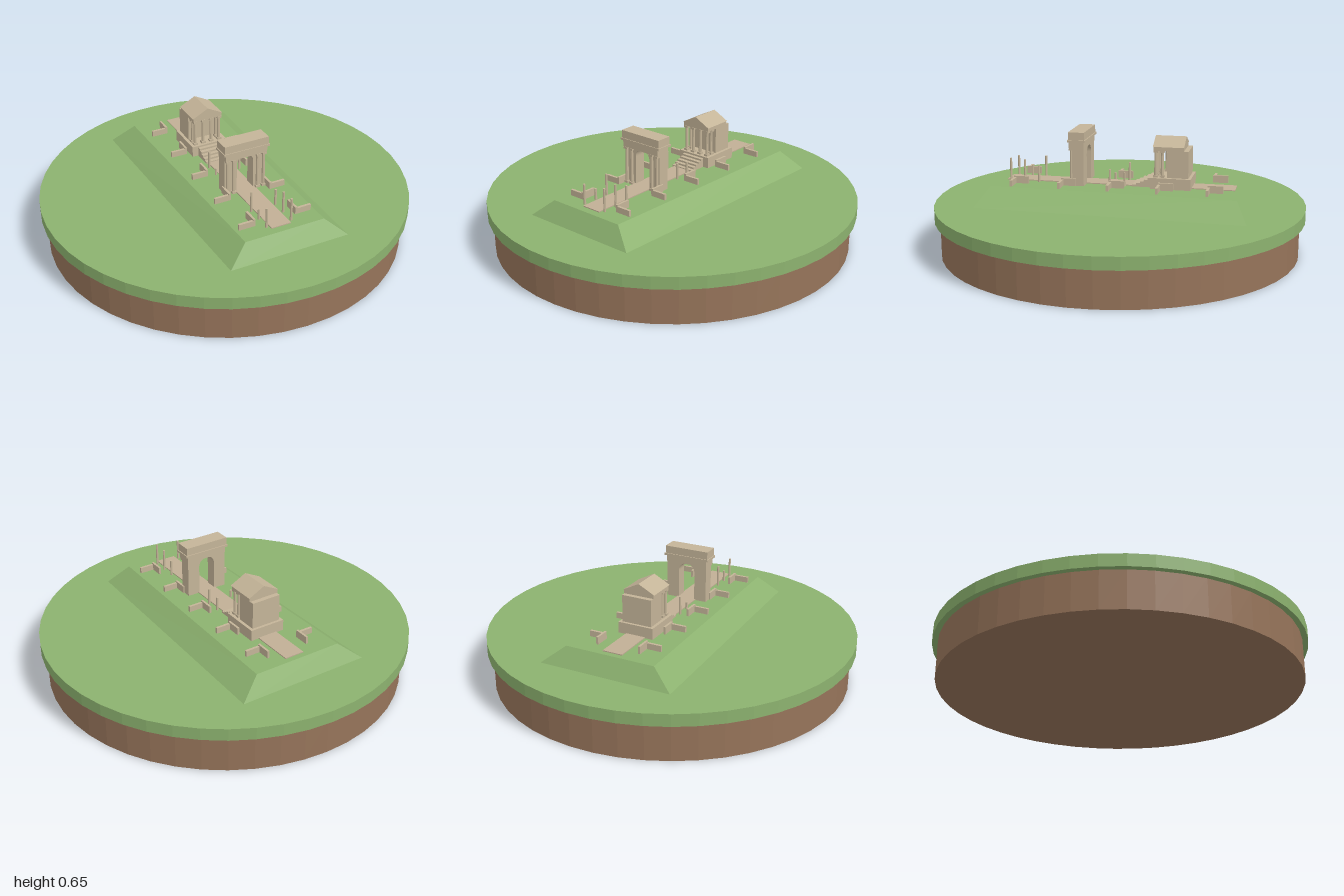
import * as THREE from 'three';

const mat = (name, color, flatShading = false) => {
  const m = new THREE.MeshStandardMaterial({ color, flatShading });
  m.name = name;
  return m;
};

export function createModel() {
  const grass = mat('grass', 0x8cb26f, true);
  const earth = mat('earth', 0x96745a, true);
  const stone = mat('sandstone', 0xc4b498, true);
  const paving = mat('paving', 0xc1ae95, true);

  const model = new THREE.Group();
  const add = (parent, name, geo, material, x = 0, y = 0, z = 0) => {
    const m = new THREE.Mesh(geo, material);
    m.name = name;
    m.position.set(x, y, z);
    parent.add(m);
    return m;
  };
  // box given by its extents on each axis
  const box = (parent, name, x0, x1, y0, y1, z0, z1, material = stone) =>
    add(parent, name, new THREE.BoxGeometry(x1 - x0, y1 - y0, z1 - z0), material,
      (x0 + x1) / 2, (y0 + y1) / 2, (z0 + z1) / 2);
  const shaft = (parent, name, x, z, y0, y1, r) =>
    add(parent, name, new THREE.CylinderGeometry(r * 0.88, r, y1 - y0, 8), stone, x, (y0 + y1) / 2, z);
  // column with square base and capital
  const column = (parent, name, x, z, y0, y1, r) => {
    const g = new THREE.Group();
    g.name = name;
    parent.add(g);
    const b = r * 1.3;
    box(g, 'columnBase', x - b, x + b, y0, y0 + 0.012, z - b, z + b);
    shaft(g, 'columnShaft', x, z, y0 + 0.012, y1 - 0.012, r);
    box(g, 'columnCapital', x - b, x + b, y1 - 0.012, y1, z - b, z + b);
  };

  // round base
  add(model, 'earthBase', new THREE.CylinderGeometry(0.97, 0.97, 0.2, 48), earth, 0, 0.1, 0);
  add(model, 'grassDisc', new THREE.CylinderGeometry(1, 1, 0.066, 48), grass, 0, 0.233, 0);

  // everything on the hill is turned together
  const site = new THREE.Group();
  site.name = 'ruinSite';
  site.rotation.y = -Math.PI / 9;
  model.add(site);

  // hill: a box tapered to the top and to the front
  const hillGeo = new THREE.BoxGeometry(2, 2, 2);
  const p = hillGeo.attributes.position;
  for (let i = 0; i < p.count; i++) {
    const top = p.getY(i) > 0, front = p.getZ(i) > 0;
    const halfWidth = top ? (front ? 0.223 : 0.25) : (front ? 0.338 : 0.373);
    p.setXYZ(i, p.getX(i) * halfWidth, top ? 0.36 : 0.262, p.getZ(i) * (top ? 0.66 : 0.724));
  }
  hillGeo.computeVertexNormals();
  add(site, 'hill', hillGeo, grass);

  const G = 0.36;
  box(site, 'road', -0.055, 0.055, G - 0.003, G + 0.005, -0.63, 0.62, paving);

  // triumphal arch
  const arch = new THREE.Group();
  arch.name = 'triumphalArch';
  site.add(arch);
  const wall = new THREE.Shape();
  wall.moveTo(-0.118, G);
  wall.lineTo(-0.048, G);
  wall.lineTo(-0.048, 0.518);
  wall.absarc(0, 0.518, 0.048, Math.PI, 0, true);
  wall.lineTo(0.048, G);
  wall.lineTo(0.118, G);
  wall.lineTo(0.118, 0.6);
  wall.lineTo(-0.118, 0.6);
  add(arch, 'archBody', new THREE.ExtrudeGeometry(wall, { depth: 0.063, bevelEnabled: false, curveSegments: 12 }),
    stone, 0, 0, 0.173);
  for (const x of [-0.105, -0.07, 0.07, 0.105]) column(arch, 'archColumn', x, 0.243, G, 0.563, 0.009);
  box(arch, 'archEntablature', -0.12, 0.12, 0.563, 0.6, 0.171, 0.253);
  box(arch, 'archCornice', -0.132, 0.132, 0.598, 0.61, 0.163, 0.259);
  box(arch, 'archAttic', -0.127, 0.127, 0.61, 0.652, 0.168, 0.255);

  // temple
  const temple = new THREE.Group();
  temple.name = 'temple';
  site.add(temple);
  box(temple, 'podium', -0.1, 0.1, G, 0.42, -0.4, -0.185);
  box(temple, 'cella', -0.083, 0.083, 0.42, 0.566, -0.385, -0.272);
  for (let i = 0; i < 4; i++) column(temple, 'porticoColumn', -0.072 + i * 0.048, -0.21, 0.42, 0.566, 0.009);
  for (const x of [-0.072, 0.072]) column(temple, 'porticoColumn', x, -0.245, 0.42, 0.566, 0.009);
  box(temple, 'templeEntablature', -0.086, 0.086, 0.565, 0.588, -0.36, -0.2);
  const gable = new THREE.Shape();
  gable.moveTo(-0.09, 0.586);
  gable.lineTo(0.09, 0.586);
  gable.lineTo(0, 0.632);
  add(temple, 'gableRoof', new THREE.ExtrudeGeometry(gable, { depth: 0.166, bevelEnabled: false }),
    stone, 0, 0, -0.362);
  for (let i = 0; i < 5; i++)
    box(temple, 'stair', -0.066, 0.066, G, 0.41 - i * 0.01, -0.187, -0.165 + i * 0.021);

  // low L-shaped wall remains along both sides
  for (let i = 0; i < 5; i++) {
    const z = -0.5 + i * 0.2635;
    for (const s of [-1, 1]) {
      const g = new THREE.Group();
      g.name = 'ruinedWall';
      site.add(g);
      const a = s * 0.12, b = s * 0.205;
      box(g, 'crossWall', Math.min(a, b), Math.max(a, b), G, G + 0.032, z - 0.007, z + 0.007);
      box(g, 'sideWall', a - 0.006, a + 0.006, G, G + 0.04, z - 0.075, z + 0.007);
    }
  }

  // broken columns: [along, left height, right height]
  const broken = [[0.594, 0.11, 0.125], [0.515, 0.06, 0.12], [0.436, 0.115, 0.09], [0.04, 0.04, 0.09], [-0.04, 0.1, 0.075]];
  for (const [z, left, right] of broken) {
    shaft(site, 'brokenColumn', -0.07, z, G, G + left, 0.007);
    shaft(site, 'brokenColumn', 0.07, z, G, G + right, 0.007);
  }

  return model;
}
